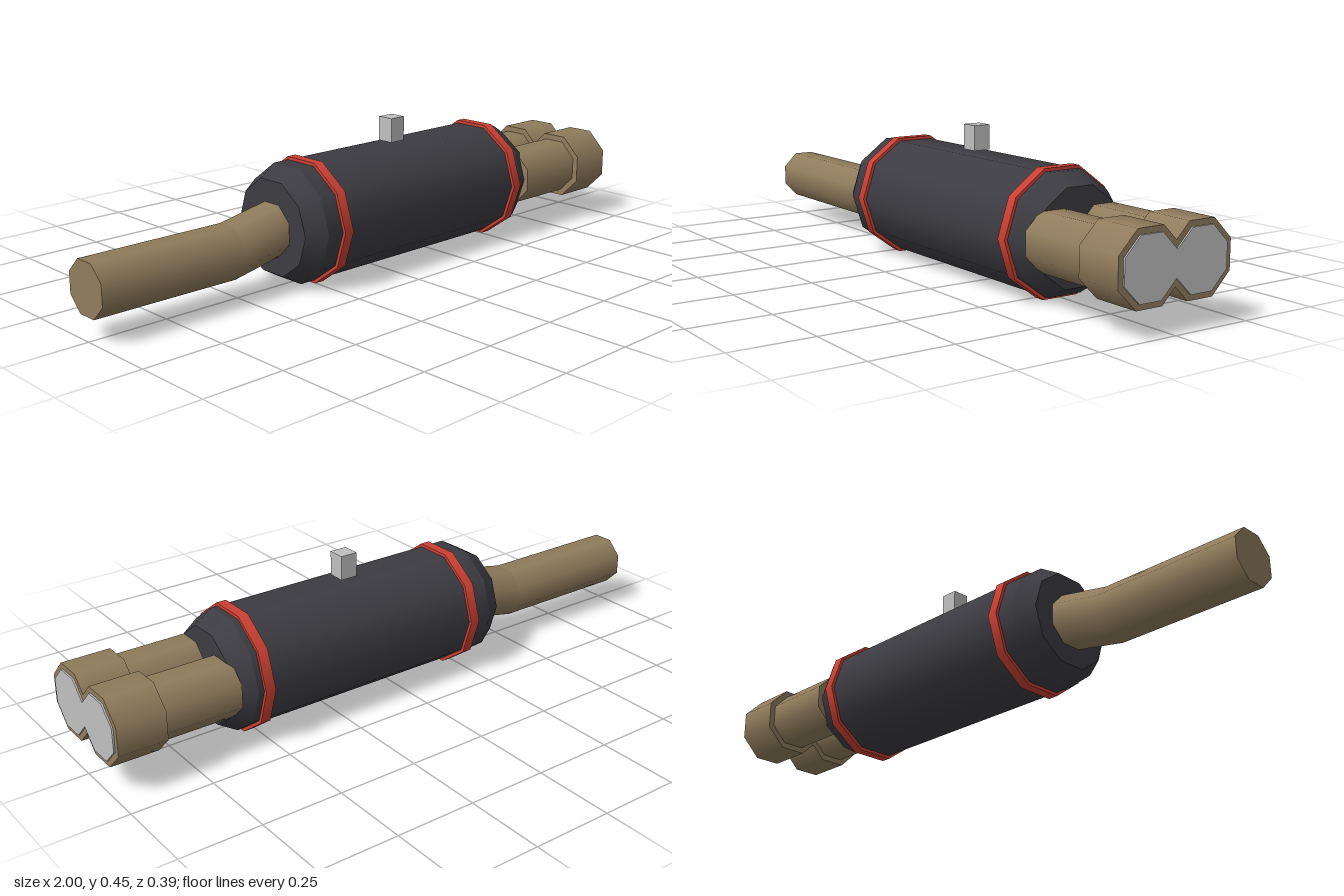
import * as THREE from 'three';

const AXIS_Y = 0.187;

function material(name, color) {
  const m = new THREE.MeshStandardMaterial({ color });
  m.name = name;
  return m;
}

// Tube section along x from x0 to x1 with a radius at each end
function section(x0, x1, r0, r1, sides, open = false) {
  const start = sides === 8 ? Math.PI / 8 : 0;
  const g = new THREE.CylinderGeometry(r1, r0, x1 - x0, sides, 1, open, start);
  g.rotateZ(-Math.PI / 2);
  g.translate((x0 + x1) / 2, 0, 0);
  return g;
}

export function createModel() {
  const model = new THREE.Group();
  model.name = 'exhaustMuffler';
  const charcoal = material('charcoal', 0x3d3c42);
  const bronze = material('bronze', 0x917d5d);
  const red = material('red', 0xcc4033);
  const grey = material('lightGrey', 0xc0c0c0);

  const add = (name, geometry, mat, y = AXIS_Y, z = 0) => {
    const mesh = new THREE.Mesh(geometry, mat);
    mesh.name = name;
    mesh.position.set(0, y, z);
    model.add(mesh);
  };

  // Ten-sided canister with chamfered ends
  add('canisterInletEnd', section(-0.365, -0.305, 0.149, 0.185, 10), charcoal);
  add('canister', section(-0.305, 0.555, 0.185, 0.185, 10, true), charcoal);
  add('canisterOutletEnd', section(0.555, 0.615, 0.185, 0.149, 10), charcoal);

  // Clamp bands
  for (const x of [-0.235, 0.52]) {
    add('clampBand', section(x - 0.016, x + 0.016, 0.195, 0.195, 10), red);
  }

  // Inlet pipe: straight run, then a sheared rise into the canister
  const inletY = 0.15, bendX = -0.53, slope = 0.2;
  add('inletPipe', section(-1, bendX, 0.084, 0.084, 8), bronze, inletY);
  const bend = section(0, 0.175, 0.084, 0.084, 8, true);
  bend.applyMatrix4(new THREE.Matrix4().makeShear(slope, 0, 0, 0, 0, 0));
  bend.translate(bendX, 0, 0);
  add('inletBend', bend, bronze, inletY);

  // Twin outlets: pipe, wider tip and end disc
  for (const side of [1, -1]) {
    const z = side * 0.0865;
    add('outletPipe', section(0.6, 0.85, 0.0925, 0.0925, 8), bronze, AXIS_Y, z);
    add('outletTip', section(0.845, 0.993, 0.1125, 0.1125, 8), bronze, AXIS_Y, z);
    add('outletDisc', section(0.992, 0.998, 0.0945, 0.0945, 8), grey, AXIS_Y, z);
  }

  // Mounting block above the canister
  add('mountingBlock', new THREE.BoxGeometry(0.055, 0.076, 0.055).translate(0.128, 0, 0), grey, 0.411);

  return model;
}
